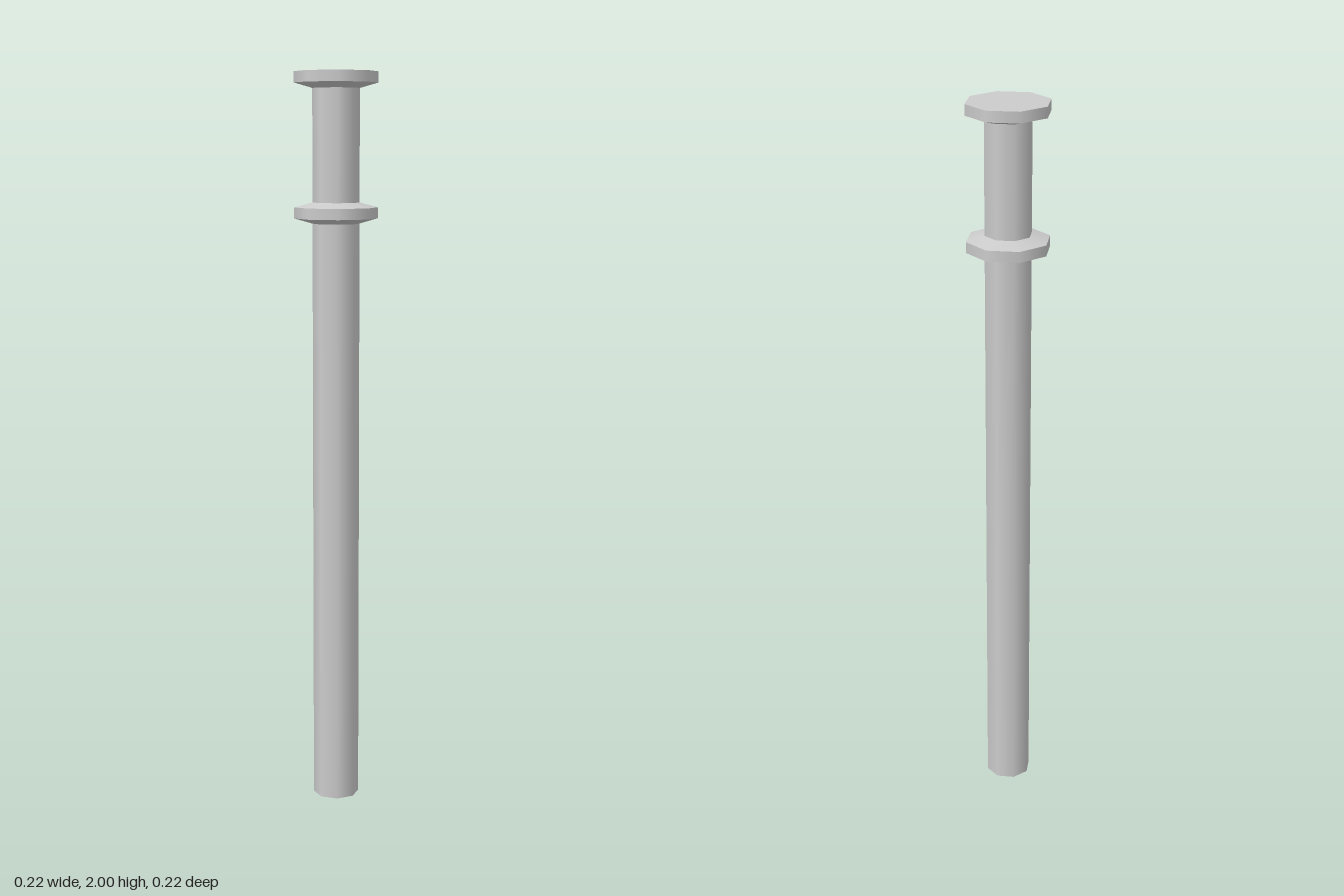
import * as THREE from 'three';

const SIDES = 8;
const SHAFT_R = 0.063;
const RIM_R = 0.112;

export function createModel() {
  const model = new THREE.Group();
  const material = new THREE.MeshStandardMaterial({ color: 0xcccccc, side: THREE.DoubleSide });

  // One open band: smooth around, sharp where it meets the next band
  function band(parent, name, y0, r0, y1, r1) {
    const geometry = new THREE.CylinderGeometry(r1, r0, y1 - y0, SIDES, 1, true);
    const mesh = new THREE.Mesh(geometry, material);
    mesh.name = name;
    mesh.position.y = (y0 + y1) / 2;
    parent.add(mesh);
  }

  // Hollow post, open at the foot
  band(model, 'lowerShaft', 0, SHAFT_R, 1.602, SHAFT_R);
  band(model, 'upperShaft', 1.658, SHAFT_R, 1.957, SHAFT_R);

  // Collar, bevelled above and below
  const collar = new THREE.Group();
  collar.name = 'collar';
  band(collar, 'collarUnderside', 1.602, SHAFT_R, 1.616, RIM_R);
  band(collar, 'collarRim', 1.616, RIM_R, 1.645, RIM_R);
  band(collar, 'collarTop', 1.645, RIM_R, 1.658, SHAFT_R);
  model.add(collar);

  // Head, bevelled below and flat on top
  const head = new THREE.Group();
  head.name = 'head';
  band(head, 'headUnderside', 1.957, SHAFT_R, 1.971, RIM_R);
  band(head, 'headRim', 1.971, RIM_R, 2, RIM_R);
  const cap = new THREE.Mesh(new THREE.CircleGeometry(RIM_R, SIDES), material);
  cap.name = 'headCap';
  cap.rotation.x = -Math.PI / 2;
  cap.position.y = 2;
  head.add(cap);
  model.add(head);

  return model;
}
